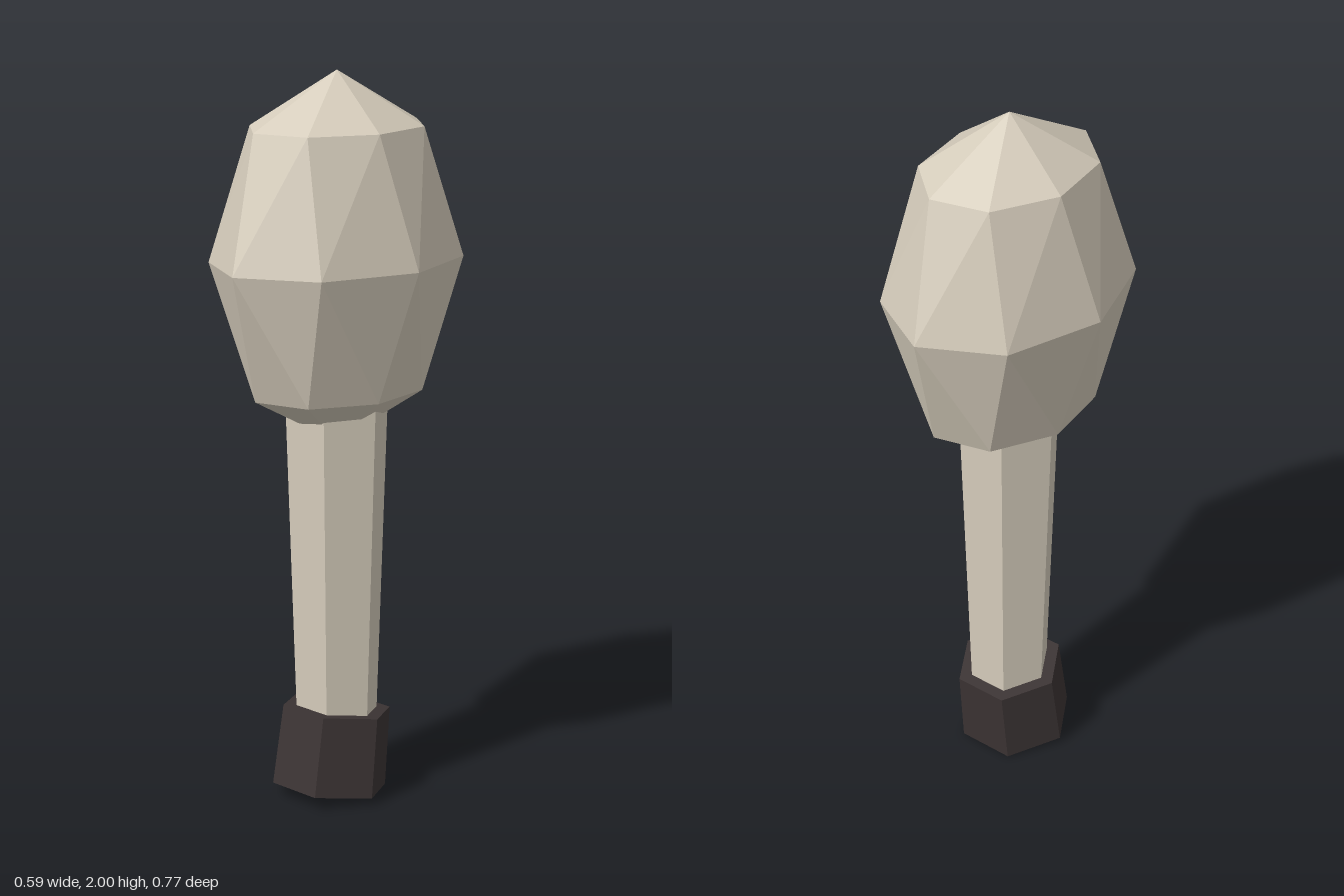
import * as THREE from 'three';

const bone = new THREE.MeshStandardMaterial({ color: 0xd6cdbc });
bone.name = 'bone beige';
const dark = new THREE.MeshStandardMaterial({ color: 0x3c3434 });
dark.name = 'hoof black';

// Faceted mesh: unshared corners give one normal per face
function facetedMesh(name, geometry, material) {
  const flat = geometry.toNonIndexed();
  flat.computeVertexNormals();
  const mesh = new THREE.Mesh(flat, material);
  mesh.name = name;
  return mesh;
}

// Tapered six-sided column with corners on +x and -x
function hexColumn(topRadius, bottomRadius, height) {
  return new THREE.CylinderGeometry(topRadius, bottomRadius, height, 6, 1, false, Math.PI / 6);
}

// Low-poly egg whose upper and lower rings are turned against the equator
function thighGeometry() {
  const geometry = new THREE.SphereGeometry(1, 8, 4);
  const position = geometry.attributes.position;
  const up = new THREE.Vector3(0, 1, 0);
  const v = new THREE.Vector3();
  const twist = THREE.MathUtils.degToRad(11.4);
  for (let i = 0; i < position.count; i++) {
    v.fromBufferAttribute(position, i);
    if (v.y > 0.1) v.applyAxisAngle(up, Math.PI / 4 - twist);
    else if (v.y < -0.1) v.applyAxisAngle(up, -twist);
    position.setXYZ(i, v.x * 0.295, v.y * 0.5, v.z * 0.383);
  }
  return geometry;
}

export function createModel() {
  const leg = new THREE.Group();
  leg.name = 'leg';

  const thigh = facetedMesh('thigh', thighGeometry(), bone);
  thigh.position.y = 1.5;

  const shin = facetedMesh('shin', hexColumn(0.146, 0.111, 1.1), bone);
  shin.position.y = 0.65;

  // Hoof leans so that its sole pushes forward
  const hoof = facetedMesh('hoof', hexColumn(0.154, 0.163, 0.2225), dark);
  hoof.position.set(0, 0.1325, 0.015);
  hoof.rotation.x = -0.135;

  leg.add(thigh, shin, hoof);
  return leg;
}
